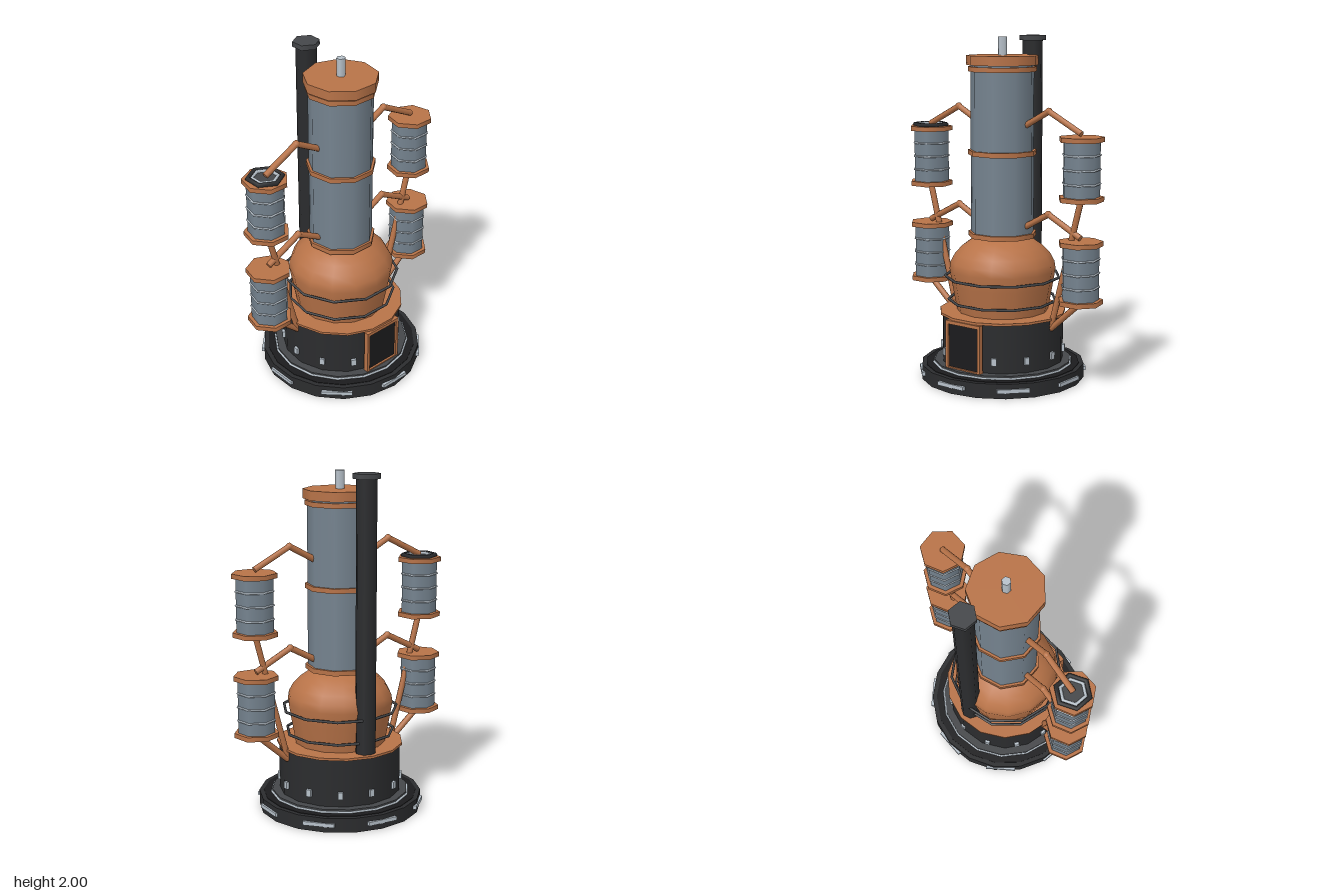
import * as THREE from 'three';

const mat = (color) => new THREE.MeshStandardMaterial({ color });
const copper = mat(0xb87348), steel = mat(0x75838f), dark = mat(0x2b2c2e),
  iron = mat(0x45474a), silver = mat(0xb8c2cb), black = mat(0x1b1b1d);

export function createModel() {
  const model = new THREE.Group();

  const add = (parent, name, geometry, material, x = 0, y = 0, z = 0) => {
    const mesh = new THREE.Mesh(geometry, material);
    mesh.name = name;
    mesh.position.set(x, y, z);
    parent.add(mesh);
    return mesh;
  };

  // Upright prism between two heights, with a corner pointing to the back
  const drum = (parent, name, material, r, y0, y1, sides, x = 0, z = 0) =>
    add(parent, name, new THREE.CylinderGeometry(r, r, y1 - y0, sides).rotateY(Math.PI),
      material, x, (y0 + y1) / 2, z);

  // Horizontal ring, with a corner pointing to the back
  const ring = (parent, name, material, r, tube, y, sides, x = 0) =>
    add(parent, name, new THREE.TorusGeometry(r, tube, 6, sides).rotateX(Math.PI / 2).rotateY(Math.PI / 2),
      material, x, y, 0);

  // Straight pipe between two points in the z = 0 plane
  const pipe = (parent, name, [x0, y0], [x1, y1]) => {
    const a = new THREE.Vector3(x0, y0, 0), b = new THREE.Vector3(x1, y1, 0);
    const dir = b.clone().sub(a);
    const mesh = add(parent, name, new THREE.CylinderGeometry(0.018, 0.018, dir.length(), 8), copper);
    mesh.position.copy(a).add(b).multiplyScalar(0.5);
    mesh.quaternion.setFromUnitVectors(new THREE.Vector3(0, 1, 0), dir.normalize());
  };

  // Pieces spaced around the vertical axis, each facing outward
  const around = (name, material, size, r, y, angles) => {
    for (const a of angles) {
      const mesh = add(model, name, new THREE.BoxGeometry(...size), material, r * Math.sin(a), y, r * Math.cos(a));
      mesh.rotation.y = a;
    }
  };

  // Stepped base
  drum(model, 'base', dark, 0.482, 0, 0.085, 18);
  drum(model, 'baseChannel', black, 0.455, 0.08, 0.088, 18);
  drum(model, 'baseStep', iron, 0.405, 0.08, 0.108, 16);
  ring(model, 'baseTrim', silver, 0.408, 0.007, 0.092, 16);
  around('basePlate', silver, [0.185, 0.022, 0.02], 0.476, 0.045,
    Array.from({ length: 8 }, (_, i) => i * Math.PI / 4));

  // Firebox with rivets around it, leaving a gap for the door
  drum(model, 'firebox', dark, 0.36, 0.1, 0.39, 15);
  drum(model, 'fireboxRim', copper, 0.373, 0.388, 0.402, 15);
  around('rivet', silver, [0.03, 0.042, 0.025], 0.357, 0.177,
    Array.from({ length: 11 }, (_, i) => (i + 1) * Math.PI / 6));

  // Door and its frame
  add(model, 'doorPanel', new THREE.BoxGeometry(0.22, 0.27, 0.04), black, 0, 0.245, 0.343);
  const frame = new THREE.Shape([[-0.125, 0.105], [0.125, 0.105], [0.125, 0.388], [-0.125, 0.388]]
    .map(([x, y]) => new THREE.Vector2(x, y)));
  frame.holes.push(new THREE.Path([[-0.107, 0.115], [-0.107, 0.368], [0.107, 0.368], [0.107, 0.115]]
    .map(([x, y]) => new THREE.Vector2(x, y))));
  add(model, 'doorFrame', new THREE.ExtrudeGeometry(frame, { depth: 0.03, bevelEnabled: false }),
    copper, 0, 0, 0.345);

  // Pot-bellied boiler and the hoops around it
  const profile = [[0.268, 0.395], [0.28, 0.46], [0.298, 0.56], [0.312, 0.645], [0.305, 0.69],
    [0.278, 0.74], [0.235, 0.785], [0.185, 0.82], [0.13, 0.84]].map(([x, y]) => new THREE.Vector2(x, y));
  add(model, 'boiler', new THREE.LatheGeometry(profile, 14, Math.PI), copper);
  ring(model, 'boilerHoop', iron, 0.338, 0.008, 0.605, 11);
  ring(model, 'boilerHoop', iron, 0.318, 0.008, 0.465, 11);
  ring(model, 'neckRing', dark, 0.145, 0.012, 0.837, 9);

  // Column with bands, cap and top pin
  drum(model, 'column', steel, 0.187, 0.84, 1.84, 9);
  for (const y of [0.853, 1.332, 1.812]) drum(model, 'columnBand', copper, 0.202, y - 0.014, y + 0.014, 9);
  drum(model, 'columnCap', copper, 0.213, 1.835, 1.89, 9);
  drum(model, 'topPin', silver, 0.026, 1.885, 1.995, 6);

  // Chimney at the back
  drum(model, 'chimney', dark, 0.06, 0.39, 1.975, 8, 0, -0.29);
  drum(model, 'chimneyCap', iron, 0.078, 1.97, 2, 6, 0, -0.29);

  // Two condenser drums on each side, with their pipework
  for (const side of [-1, 1]) {
    const x = side * 0.55;
    for (const y of [0.51, 1.095]) {
      const unit = new THREE.Group();
      unit.name = 'condenser';
      model.add(unit);
      drum(unit, 'condenserBody', steel, 0.107, y + 0.02, y + 0.34, 7, x);
      drum(unit, 'lowerFlange', copper, 0.13, y, y + 0.027, 7, x);
      drum(unit, 'upperFlange', copper, 0.13, y + 0.333, y + 0.36, 7, x);
      for (const h of [0.1, 0.18, 0.26]) ring(unit, 'condenserRing', silver, 0.108, 0.006, y + h, 7, x);

      // Bent arm from the column to the drum top
      const elbow = [side * 0.328, y + 0.489];
      pipe(unit, 'armInner', [side * 0.165, y + 0.4], elbow);
      pipe(unit, 'armOuter', elbow, [x, y + 0.375]);
      add(unit, 'elbow', new THREE.SphereGeometry(0.021, 8, 6), copper, ...elbow);

      // Return pipe down to the firebox
      pipe(unit, 'returnPipe', [x, y + 0.002], [side * 0.35, 0.335]);
    }
  }

  // Hatch on the upper right drum
  drum(model, 'hatchPlate', iron, 0.09, 1.45, 1.46, 6, -0.55);
  ring(model, 'hatchRim', dark, 0.096, 0.014, 1.463, 6, -0.55);
  ring(model, 'hatchRing', silver, 0.072, 0.01, 1.465, 6, -0.55);

  return model;
}
